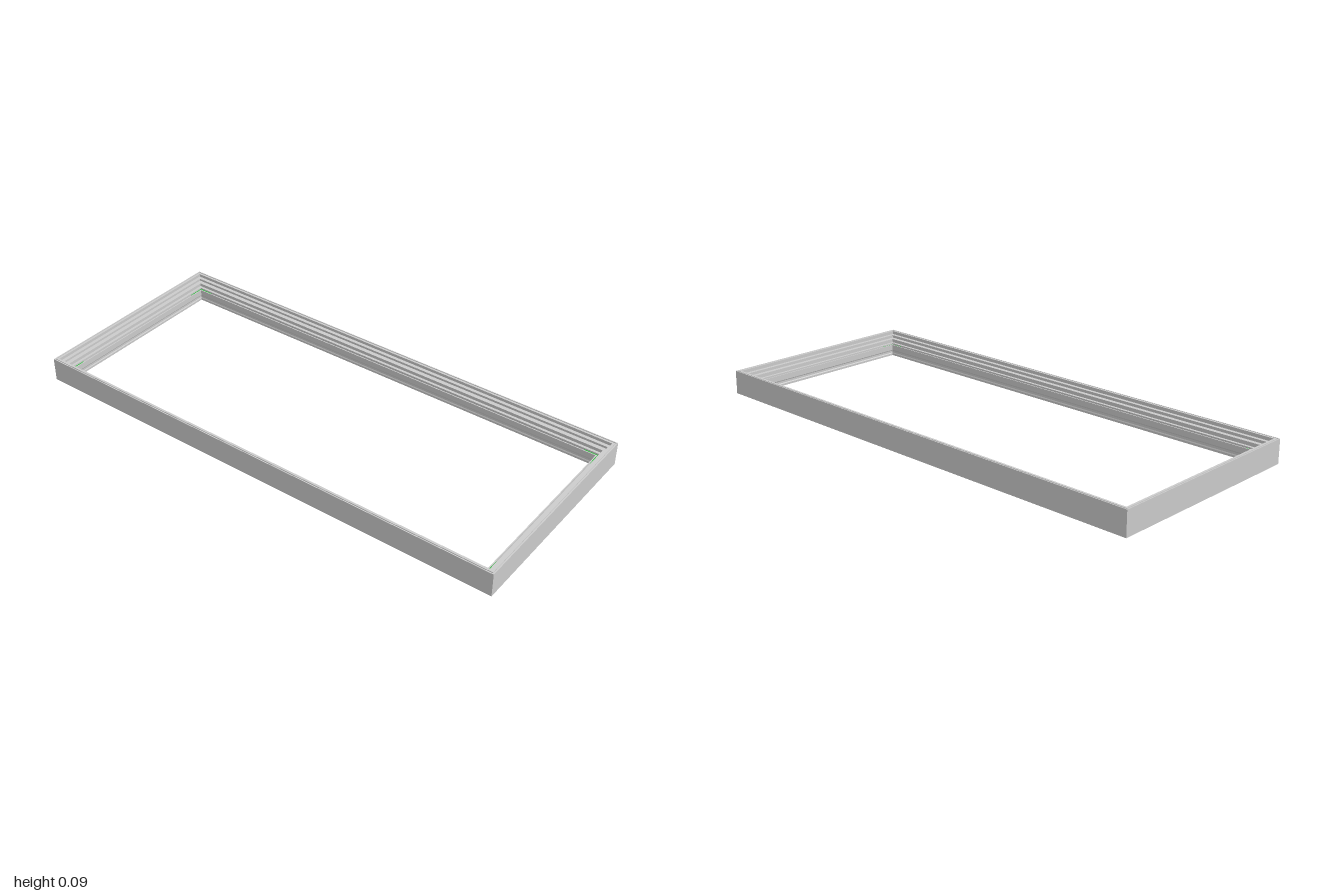
import * as THREE from 'three';

const HALF_W = 0.426, HALF_L = 1;

// Sweeps a closed (inset, height) profile around a mitred rectangle
function mitredFrame(profile) {
  const corners = [[1, 1], [1, -1], [-1, -1], [-1, 1]];
  const at = ([sx, sz], [d, y]) => [sx * (HALF_W - d), y, sz * (HALF_L - d)];
  const pos = [];
  corners.forEach((c0, k) => {
    const c1 = corners[(k + 1) % 4];
    profile.forEach((p, i) => {
      const q = profile[(i + 1) % profile.length];
      const a = at(c0, p), b = at(c1, p), c = at(c1, q), d = at(c0, q);
      pos.push(...a, ...b, ...c, ...a, ...c, ...d);
    });
  });
  const geo = new THREE.BufferGeometry();
  geo.setAttribute('position', new THREE.Float32BufferAttribute(pos, 3));
  geo.computeVertexNormals();
  return geo;
}

export function createModel() {
  const group = new THREE.Group();
  const grey = new THREE.MeshStandardMaterial({ color: 0xcccccc });
  const green = new THREE.MeshStandardMaterial({ color: 0x22bb33 });

  // Stepped channel profile: outer wall, rim, two ledges with grooves, inner lip
  const profile = [
    [0, 0], [0, 0.095], [0.004, 0.095], [0.004, 0.092], [0.007, 0.092], [0.007, 0.095],
    [0.016, 0.095], [0.016, 0.086], [0.012, 0.086], [0.012, 0.08],
    [0.026, 0.08], [0.026, 0.074], [0.021, 0.074], [0.021, 0.067],
    [0.038, 0.067], [0.038, 0.06], [0.034, 0.06], [0.034, 0.051],
    [0.045, 0.051], [0.045, 0.036], [0.051, 0.036], [0.051, 0.047],
    [0.055, 0.047], [0.055, 0.024], [0.053, 0.02], [0.053, 0.012], [0.055, 0.008], [0.055, 0],
  ];
  const frame = new THREE.Mesh(mitredFrame(profile), grey);
  frame.name = 'frame';
  group.add(frame);

  // L-shaped corner keys seated in the inner groove
  const d0 = 0.0455, d1 = 0.0505, arm = 0.06, keyH = 0.009;
  for (const sx of [-1, 1]) {
    for (const sz of [-1, 1]) {
      const key = new THREE.Group();
      key.name = 'cornerKey';
      const t = d1 - d0, y = 0.0365 + keyH / 2;
      const alongX = new THREE.Mesh(new THREE.BoxGeometry(arm, keyH, t), green);
      alongX.position.set(sx * (HALF_W - d0 - arm / 2), y, sz * (HALF_L - d0 - t / 2));
      const alongZ = new THREE.Mesh(new THREE.BoxGeometry(t, keyH, arm - t), green);
      alongZ.position.set(sx * (HALF_W - d0 - t / 2), y, sz * (HALF_L - d1 - (arm - t) / 2));
      key.add(alongX, alongZ);
      group.add(key);
    }
  }
  return group;
}
